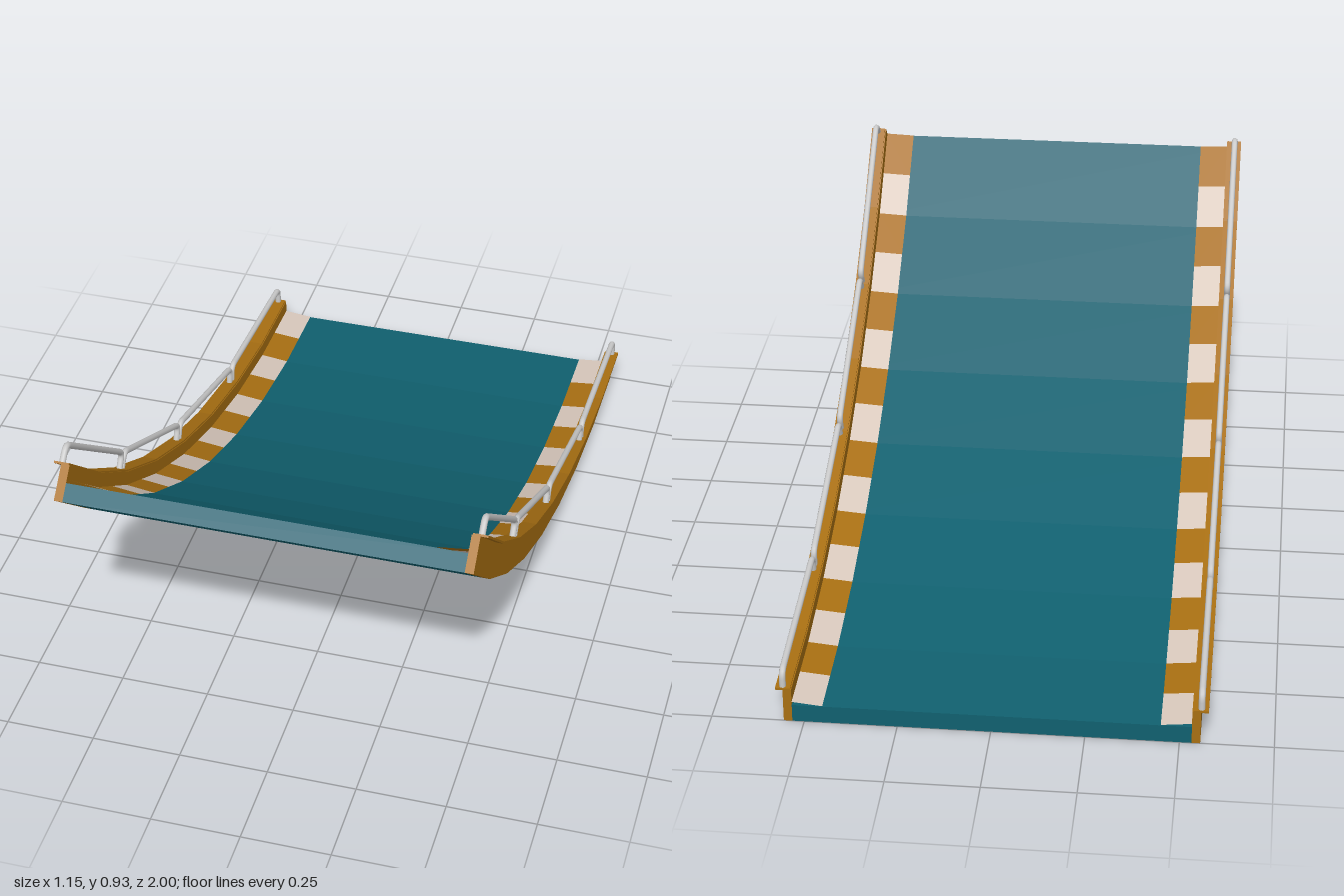
import * as THREE from 'three';

const R = 2.814, SWEEP = 45.3 * Math.PI / 180, SEGS = 8;
const mat = (color, extra = {}) => new THREE.MeshStandardMaterial({ color, ...extra });

// Point on the faceted arc: u = 0 (low back end) to 8 (high front end), t = height off the underside
function arcPoint(u, t) {
  const at = i => {
    const a = SWEEP * i / SEGS;
    return new THREE.Vector2(-1 + (R - t) * Math.sin(a), R - (R - t) * Math.cos(a));
  };
  const i = Math.min(Math.floor(u), SEGS - 1);
  return at(i).lerp(at(i + 1), u - i);
}

// Curved slab between two heights, spanning x0 to x1
function slab(name, x0, x1, t0, t1, material) {
  const pts = [];
  for (let i = 0; i <= SEGS; i++) pts.push(arcPoint(i, t0));
  for (let i = SEGS; i >= 0; i--) pts.push(arcPoint(i, t1));
  const geo = new THREE.ExtrudeGeometry(new THREE.Shape(pts), { depth: x1 - x0, bevelEnabled: false });
  geo.rotateY(-Math.PI / 2).translate(x1, 0, 0);
  const mesh = new THREE.Mesh(geo, material);
  mesh.name = name;
  return mesh;
}

// Painted edge block, rising slightly toward the side wall
function stripe(side, k, material) {
  const corner = (x, u, t) => {
    const p = arcPoint(u, t);
    return [side * x, p.y, p.x];
  };
  const u0 = k / 2, u1 = (k + 1) / 2;
  const a = corner(0.45, u0, 0.0515), b = corner(0.45, u1, 0.0515);
  const c = corner(0.532, u1, 0.06), d = corner(0.532, u0, 0.06);
  const quad = side > 0 ? [a, b, c, a, c, d] : [a, c, b, a, d, c];
  const geo = new THREE.BufferGeometry();
  geo.setAttribute('position', new THREE.Float32BufferAttribute(quad.flat(), 3));
  geo.computeVertexNormals();
  const mesh = new THREE.Mesh(geo, material);
  mesh.name = 'edgeStripe';
  return mesh;
}

// Bent tube handrail: post, rounded corner, bar, rounded corner, post
function handrail(side, k, material) {
  const v = (u, t) => {
    const p = arcPoint(u, t);
    return new THREE.Vector3(side * 0.556, p.y, p.x);
  };
  const u0 = 2 * k + 0.04, u1 = 2 * k + 1.96;
  const foot0 = v(u0, 0.098), top0 = v(u0, 0.148), top1 = v(u1, 0.148), foot1 = v(u1, 0.098);
  const toward = (p, q) => p.clone().add(q.clone().sub(p).setLength(0.022));
  const path = new THREE.CurvePath();
  const a = toward(top0, foot0), b = toward(top0, top1), c = toward(top1, top0), d = toward(top1, foot1);
  path.add(new THREE.LineCurve3(foot0, a));
  path.add(new THREE.QuadraticBezierCurve3(a, top0, b));
  path.add(new THREE.LineCurve3(b, c));
  path.add(new THREE.QuadraticBezierCurve3(c, top1, d));
  path.add(new THREE.LineCurve3(d, foot1));
  const mesh = new THREE.Mesh(new THREE.TubeGeometry(path, 90, 0.009, 10), material);
  mesh.name = 'handrail';
  return mesh;
}

export function createModel() {
  const group = new THREE.Group();
  group.name = 'curvedRamp';
  const teal = mat(0x10606f), orange = mat(0xa86f12);
  const orangePaint = mat(0xa86f12, { side: THREE.DoubleSide });
  const palePaint = mat(0xd8c8bc, { side: THREE.DoubleSide });
  const grey = mat(0xcccccc);

  // Deck
  group.add(slab('deck', -0.532, 0.532, 0, 0.05, teal));

  for (const side of [1, -1]) {
    const span = (name, near, far, t0, t1) =>
      slab(name, Math.min(side * near, side * far), Math.max(side * near, side * far), t0, t1, orange);
    // Side wall and the thin flange along its top
    group.add(span('sideWall', 0.532, 0.555, 0, 0.098));
    group.add(span('topFlange', 0.535, 0.575, 0.096, 0.102));
    // Alternating edge stripes
    for (let k = 0; k < 16; k++) group.add(stripe(side, k, k % 2 ? orangePaint : palePaint));
    // Handrails
    for (let k = 0; k < 4; k++) group.add(handrail(side, k, grey));
  }
  return group;
}
